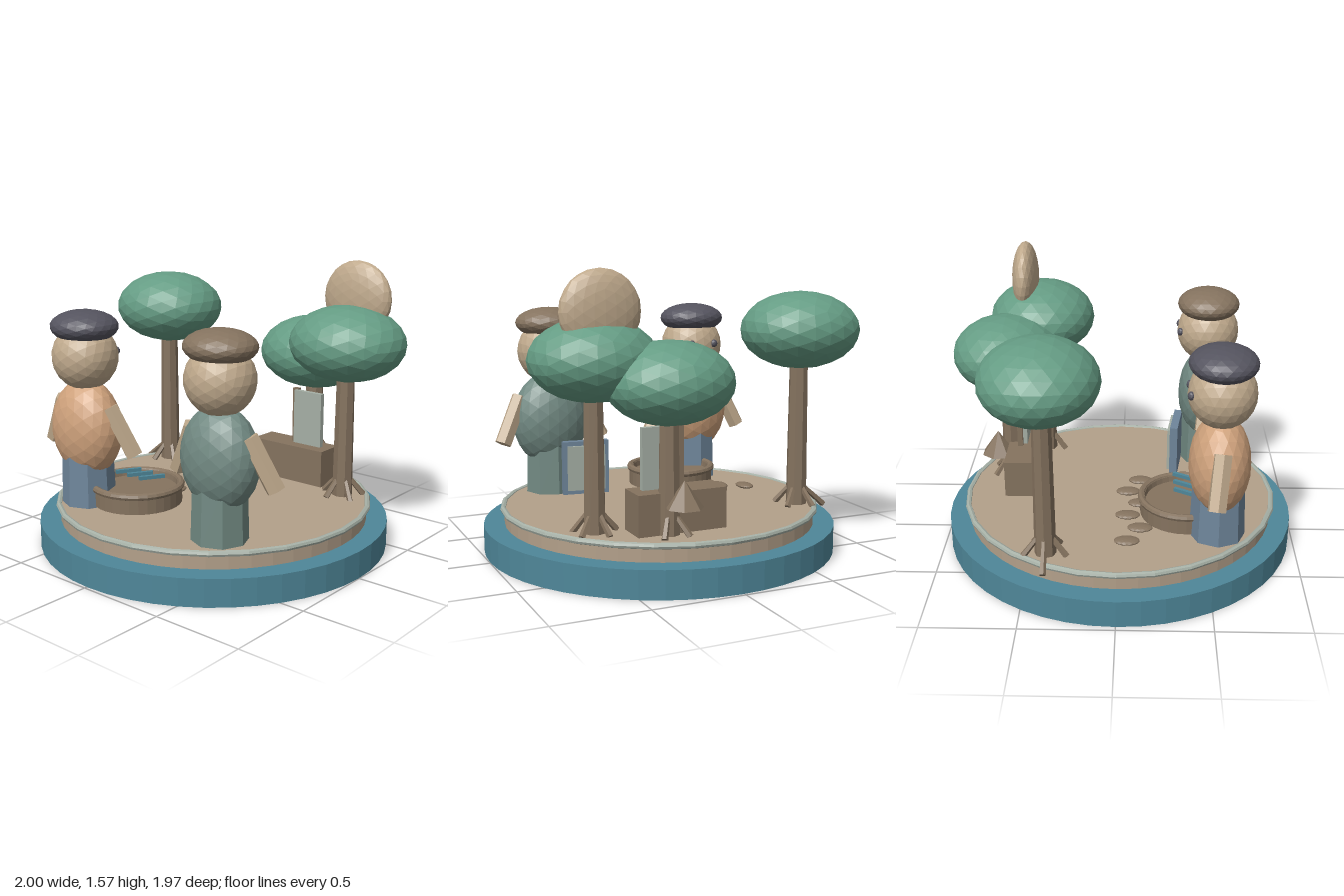
import * as THREE from 'three';

const colour = (name, hex, extra = {}) => {
  const m = new THREE.MeshStandardMaterial({ color: hex, flatShading: true, ...extra });
  m.name = name;
  return m;
};
const blue = colour('base blue', 0x4f8799);
const sand = colour('sand', 0xb3a08a);
const green = colour('foliage green', 0x659c84);
const brown = colour('wood brown', 0x85735f);
const skin = colour('skin beige', 0xbfa98c);
const navy = colour('dark slate', 0x55545f);
const orange = colour('soft orange', 0xcfa27c);
const teal = colour('grey teal', 0x728a83);
const denim = colour('denim blue', 0x6f869b);
const pale = colour('pale grey', 0xa6b0a6);

export function createModel() {
  const model = new THREE.Group();
  model.name = 'parkScene';

  const add = (parent, name, geometry, material, x, y, z) => {
    const mesh = new THREE.Mesh(geometry, material);
    mesh.name = name;
    mesh.position.set(x, y, z);
    parent.add(mesh);
    return mesh;
  };
  // Faceted ellipsoid
  const blob = (parent, name, material, [x, y, z], [rx, ry, rz], detail = 3) =>
    add(parent, name, new THREE.IcosahedronGeometry(1, detail).scale(rx, ry, rz), material, x, y, z);
  // Upright cylinder between two heights
  const drum = (parent, name, material, x, z, y0, y1, rTop, rBottom, sides) =>
    add(parent, name, new THREE.CylinderGeometry(rTop, rBottom, y1 - y0, sides), material, x, (y0 + y1) / 2, z);
  const box = (parent, name, material, [w, h, d], [x, y, z]) =>
    add(parent, name, new THREE.BoxGeometry(w, h, d), material, x, y, z);
  // Straight limb from one point to another
  const limb = (parent, name, material, from, to, rFrom, rTo, sides = 6) => {
    const a = new THREE.Vector3(...from), b = new THREE.Vector3(...to);
    const dir = b.clone().sub(a), mid = a.clone().add(b).multiplyScalar(0.5);
    const mesh = add(parent, name, new THREE.CylinderGeometry(rTo, rFrom, dir.length(), sides), material, mid.x, mid.y, mid.z);
    mesh.quaternion.setFromUnitVectors(new THREE.Vector3(0, 1, 0), dir.normalize());
    return mesh;
  };
  const ring = (name, material, r, tube, x, y, z, sides) =>
    add(model, name, new THREE.TorusGeometry(r, tube, 8, sides).rotateX(Math.PI / 2), material, x, y, z);

  // Plinth, ground and rim
  drum(model, 'plinth', blue, 0.013, 0, 0, 0.15, 0.985, 0.985, 48);
  drum(model, 'ground', sand, 0.013, 0, 0.15, 0.243, 0.87, 0.87, 48);
  ring('groundRim', pale, 0.877, 0.017, 0.013, 0.235, 0, 28);

  // Trees: trunk, crown and spreading roots
  const tree = (x, z, crownY, rootLength, rootAngle) => {
    const g = new THREE.Group();
    g.name = 'tree';
    model.add(g);
    drum(g, 'trunk', brown, x, z, 0.24, crownY - 0.1, 0.05, 0.058, 8);
    blob(g, 'crown', green, [x, crownY, z - 0.005], [0.332, 0.212, 0.308]);
    for (let i = 0; i < 5; i++) {
      const a = rootAngle + (i * Math.PI * 2) / 5;
      const c = Math.cos(a), s = Math.sin(a);
      const far = i === 0 ? rootLength : 0.12;
      limb(g, 'root', brown, [x + c * 0.04, 0.34, z + s * 0.04], [x + c * far, i === 0 ? 0.22 : 0.245, z + s * far], 0.014, 0.018, 5);
    }
  };
  tree(-0.665, -0.375, 1.22, 0.18, Math.PI);
  tree(0.25, -0.65, 1.01, 0.11, 0.3);
  tree(0.58, -0.47, 1.12, 0.13, 0.6);

  // Pale disc resting in the tree crown
  blob(model, 'skyDisc', skin, [0.578, 1.36, -0.57], [0.212, 0.21, 0.077]);

  // People facing the middle of the scene
  const person = (name, x, z, legsColour, bodyColour, hatColour, leftSwing) => {
    const g = new THREE.Group();
    g.name = name;
    g.position.set(x, 0, z);
    model.add(g);
    drum(g, 'legs', legsColour, 0, 0, 0.24, 0.55, 0.14, 0.15, 8);
    blob(g, 'body', bodyColour, [0, 0.67, 0], [0.225, 0.275, 0.165]);
    blob(g, 'head', skin, [0, 1.07, 0], [0.185, 0.185, 0.18]);
    blob(g, 'hat', hatColour, [0, 1.235, 0], [0.194, 0.09, 0.18]);
    for (const s of [-1, 1]) {
      const swing = s < 0 ? leftSwing : 0.06;
      limb(g, 'arm', skin, [s * 0.18, 0.81, 0], [s * 0.305, 0.55, -swing], 0.05, 0.05);
      blob(g, 'eye', navy, [s * 0.075, 1.085, -0.163], [0.022, 0.024, 0.02], 1);
    }
  };
  person('personInOrange', -0.45, 0.535, denim, orange, navy, 0.03);
  person('personInTeal', 0.485, 0.51, teal, teal, brown, 0.03);

  // Round fire pit with a rim and three sticks
  const px = -0.232, pz = 0.37;
  const pitProfile = [[0, 0.25], [0.25, 0.25], [0.25, 0.355], [0.225, 0.355], [0.22, 0.325], [0, 0.325]]
    .map(([r, y]) => new THREE.Vector2(r, y));
  add(model, 'firePit', new THREE.LatheGeometry(pitProfile, 32), brown, px, 0, pz);
  ring('firePitRim', brown, 0.245, 0.02, px, 0.348, pz, 32);
  for (let i = 0; i < 3; i++) {
    const stick = box(model, 'stick', blue, [0.02, 0.02, 0.145], [-0.3 + i * 0.09, 0.408, 0.37]);
    stick.rotation.y = -0.53;
  }

  // Stepping stones in a zigzag
  for (let i = 0; i < 6; i++) {
    blob(model, 'steppingStone', brown, [-0.57 + i * 0.135, 0.262, i % 2 ? 0.12 : 0.05], [0.046, 0.016, 0.07], 2);
  }

  // Standing board with a pale panel
  const board = new THREE.Group();
  board.name = 'standingBoard';
  board.position.set(0.335, 0.4, 0.325);
  board.rotation.y = -0.13;
  model.add(board);
  box(board, 'boardFrame', denim, [0.27, 0.31, 0.045], [0, 0, 0.005]);
  box(board, 'boardPanel', pale, [0.22, 0.26, 0.018], [0, 0, -0.026]);

  // Long chest with an upright panel and post
  box(model, 'chest', brown, [0.49, 0.215, 0.175], [0.175, 0.35, -0.573]);
  box(model, 'uprightPanel', pale, [0.19, 0.32, 0.03], [0.27, 0.62, -0.565]);
  box(model, 'panelPost', brown, [0.035, 0.34, 0.03], [0.165, 0.615, -0.59]);

  // Small pointed roof behind the chest
  add(model, 'pointedRoof', new THREE.ConeGeometry(0.1, 0.14, 7), brown, 0.2, 0.46, -0.725);

  return model;
}
